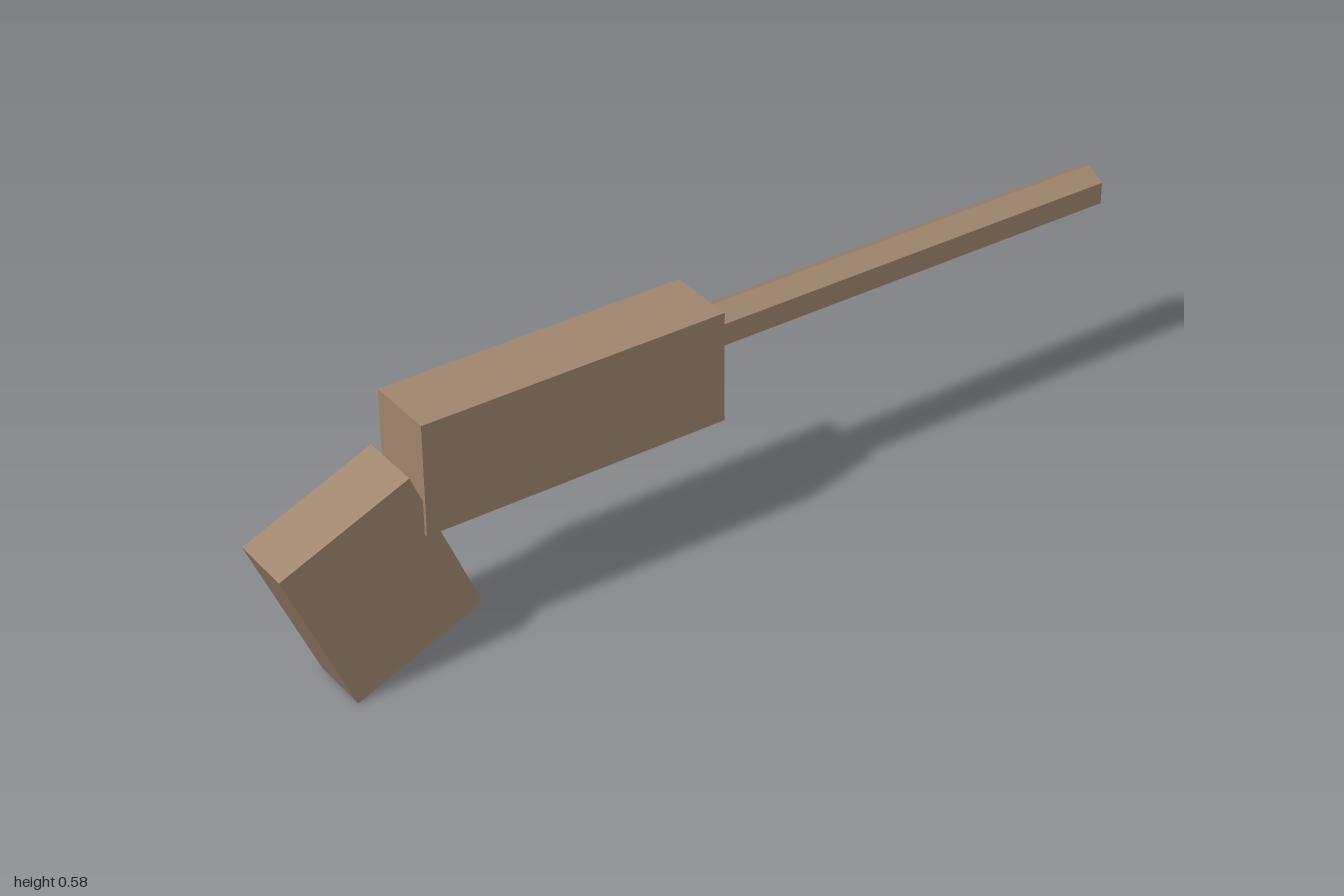
import * as THREE from 'three';

export function createModel() {
  const group = new THREE.Group();
  const brown = new THREE.MeshStandardMaterial({ color: 0xa1876f });
  brown.name = 'brown';

  const add = (name, geometry, x, y, tilt = 0) => {
    // faceted geometry: split vertices so each side shades flat
    const flat = geometry.toNonIndexed();
    flat.computeVertexNormals();
    const mesh = new THREE.Mesh(flat, brown);
    mesh.name = name;
    mesh.position.set(x, y, 0);
    mesh.rotation.z = tilt;
    group.add(mesh);
  };

  // Main block
  add('body', new THREE.BoxGeometry(0.688, 0.249, 0.156), -0.345, 0.453);

  // Slanted handle, tucked into the rear of the body
  add('grip', new THREE.BoxGeometry(0.31, 0.375, 0.14), -0.785, 0.234, 0.4);

  // Six-sided barrel lying along x, with an edge on top
  const barrel = new THREE.CylinderGeometry(0.049, 0.049, 1.0, 6);
  barrel.rotateY(Math.PI / 2).rotateZ(-Math.PI / 2);
  add('barrel', barrel, 0.499, 0.5);

  return group;
}
